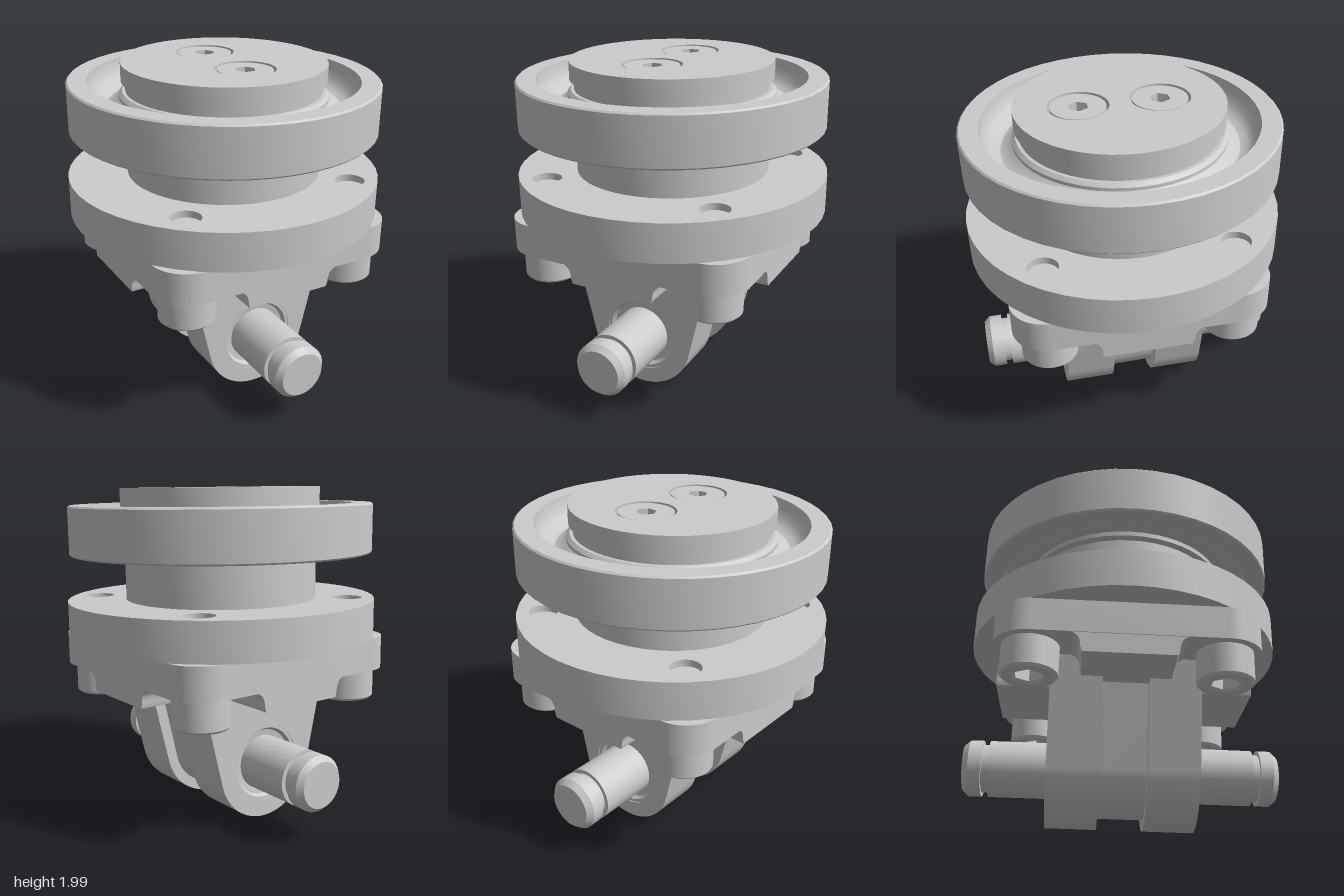
import * as THREE from 'three';
import { toCreasedNormals } from 'three/addons/utils/BufferGeometryUtils.js';

const material = new THREE.MeshStandardMaterial({ color: 0xcccccc });
const SEG = 48;
const PIN_Y = 0.35;

function part(parent, name, geometry) {
  const mesh = new THREE.Mesh(toCreasedNormals(geometry, 0.5), material);
  mesh.name = name;
  parent.add(mesh);
  return mesh;
}

const lathe = (points) =>
  new THREE.LatheGeometry(points.map(([r, y]) => new THREE.Vector2(r, y)), SEG);

function circle(r, x = 0, y = 0, Kind = THREE.Path) {
  const path = new Kind();
  path.absarc(x, y, r, 0, Math.PI * 2);
  return path;
}

function hexagon(r, x = 0, y = 0) {
  const points = [];
  for (let i = 0; i < 6; i++) {
    const a = (i * Math.PI) / 3;
    points.push(new THREE.Vector2(x + r * Math.cos(a), y + r * Math.sin(a)));
  }
  return new THREE.Path(points);
}

// Horizontal slab between two heights, with an optional chamfer
function slab(shape, y0, y1, bevel = 0) {
  const g = new THREE.ExtrudeGeometry(shape, {
    depth: y1 - y0 - 2 * bevel, curveSegments: 24, bevelEnabled: bevel > 0,
    bevelThickness: bevel, bevelSize: bevel, bevelOffset: -bevel, bevelSegments: 1,
  });
  return g.rotateX(-Math.PI / 2).translate(0, y0 + bevel, 0);
}

// Profile in x-y, extruded along z
const alongZ = (shape, z0, z1) =>
  new THREE.ExtrudeGeometry(shape, { depth: z1 - z0, bevelEnabled: false, curveSegments: 24 })
    .translate(0, 0, z0);

// Tapered lug: a round end about the pin with straight sides up to the plate
function lugShape(r, topHalf, hole) {
  const s = new THREE.Shape();
  const a = 0.22;
  s.moveTo(topHalf, 0.9);
  s.lineTo(-topHalf, 0.9);
  s.absarc(0, PIN_Y, r, Math.PI + a, Math.PI * 2 - a, false);
  s.closePath();
  if (hole) s.holes.push(circle(hole, 0, PIN_Y));
  return s;
}

export function createModel() {
  const model = new THREE.Group();
  model.name = 'clevisMount';
  // The whole assembly leans very slightly about mid height
  const body = new THREE.Group();
  body.name = 'assembly';
  body.position.y = -1;
  const tilt = new THREE.Group();
  tilt.name = 'tilt';
  tilt.position.y = 1;
  tilt.rotation.x = 0.019;
  tilt.add(body);
  model.add(tilt);

  // Top cap with two flush socket screws
  const capShape = circle(0.605, 0, 0, THREE.Shape);
  for (const z of [-0.235, 0.235]) {
    capShape.holes.push(circle(0.175, 0, z));
    const head = circle(0.16, 0, z, THREE.Shape);
    head.holes.push(hexagon(0.06, 0, z));
    part(body, 'capScrew', slab(head, 1.88, 1.983));
  }
  part(body, 'cap', slab(capShape, 1.88, 1.988));

  // Neck with a shoulder under the cap
  part(body, 'neck', lathe([
    [0, 1.3], [0.585, 1.3], [0.585, 1.62], [0.62, 1.63], [0.62, 1.8],
    [0.6, 1.82], [0.58, 1.82], [0.58, 1.9], [0, 1.9],
  ]));

  // Grooved outer ring
  part(body, 'ring', lathe([
    [0.61, 1.66], [0.66, 1.65], [0.72, 1.66], [0.78, 1.69], [0.8, 1.66], [0.8, 1.595],
    [0.91, 1.595], [0.92, 1.605], [0.92, 1.88], [0.91, 1.89], [0.8, 1.89], [0.795, 1.83],
    [0.77, 1.78], [0.73, 1.745], [0.69, 1.735], [0.65, 1.75], [0.61, 1.79],
  ]));

  // Round flange with four bolt holes
  const flange = circle(0.94, 0, 0, THREE.Shape);
  const corners = [[1, 1], [1, -1], [-1, 1], [-1, -1]].map(([x, z]) => [x * 0.55, z * 0.55]);
  for (const [x, z] of corners) flange.holes.push(circle(0.088, x, z));
  part(body, 'flange', slab(flange, 1.09, 1.32));

  // Square plate with rounded corners
  const plate = new THREE.Shape();
  corners.forEach((_, i) => {
    const a = (i * Math.PI) / 2;
    const q = a + Math.PI / 4;
    const k = 0.55 * Math.SQRT2;
    plate.absarc(k * Math.cos(q), k * Math.sin(q), 0.21, a, a + Math.PI / 2, false);
  });
  plate.closePath();
  part(body, 'plate', slab(plate, 0.895, 1.09));

  // Crossed ribs under the plate, filleted into the bolt pockets
  const rib = new THREE.Shape();
  rib.moveTo(-0.36, 0.9);
  rib.quadraticCurveTo(-0.27, 0.9, -0.27, 0.81);
  rib.lineTo(-0.26, 0.78);
  rib.lineTo(0.26, 0.78);
  rib.lineTo(0.27, 0.81);
  rib.quadraticCurveTo(0.27, 0.9, 0.36, 0.9);
  rib.closePath();
  for (const turn of [0, Math.PI / 2]) {
    part(body, 'plateRib', alongZ(rib, -0.755, 0.755)).rotation.y = turn;
  }

  // Corner bolts, sockets facing down
  for (const [x, z] of corners) {
    const bolt = new THREE.Group();
    bolt.name = 'cornerBolt';
    bolt.position.set(x, 0, z);
    const head = circle(0.165, 0, 0, THREE.Shape);
    head.holes.push(hexagon(0.085));
    part(bolt, 'boltHead', slab(head, 0.705, 0.91, 0.015));
    part(bolt, 'boltShank', new THREE.CylinderGeometry(0.086, 0.086, 0.48, 24).translate(0, 1.04, 0));
    body.add(bolt);
  }

  // Fork ears, each with a recessed bushing, and the tongue between them
  for (const side of [1, -1]) {
    const ear = new THREE.Group();
    ear.name = side > 0 ? 'frontEar' : 'backEar';
    part(ear, 'ear', alongZ(lugShape(0.335, 0.475, 0.235), 0.135, 0.435));
    const bushing = part(ear, 'bushing', lathe([
      [0.16, 0.14], [0.235, 0.14], [0.235, 0.43], [0.215, 0.43], [0.2, 0.405], [0.16, 0.4],
    ]).rotateX(Math.PI / 2));
    bushing.position.y = PIN_Y;
    if (side < 0) ear.rotation.y = Math.PI;
    body.add(ear);
  }
  part(body, 'tongue', alongZ(lugShape(0.27, 0.4), -0.136, 0.136));

  // Cross pin with retaining grooves and chamfered ends
  const half = [[0.165, 0.775], [0.14, 0.775], [0.14, 0.815], [0.165, 0.815], [0.165, 0.89], [0.135, 0.925], [0, 0.925]];
  const mirrored = half.map(([r, y]) => [r, -y]).reverse();
  const pin = part(body, 'pin', lathe([...mirrored, ...half]).rotateX(Math.PI / 2));
  pin.position.y = PIN_Y;

  return model;
}
